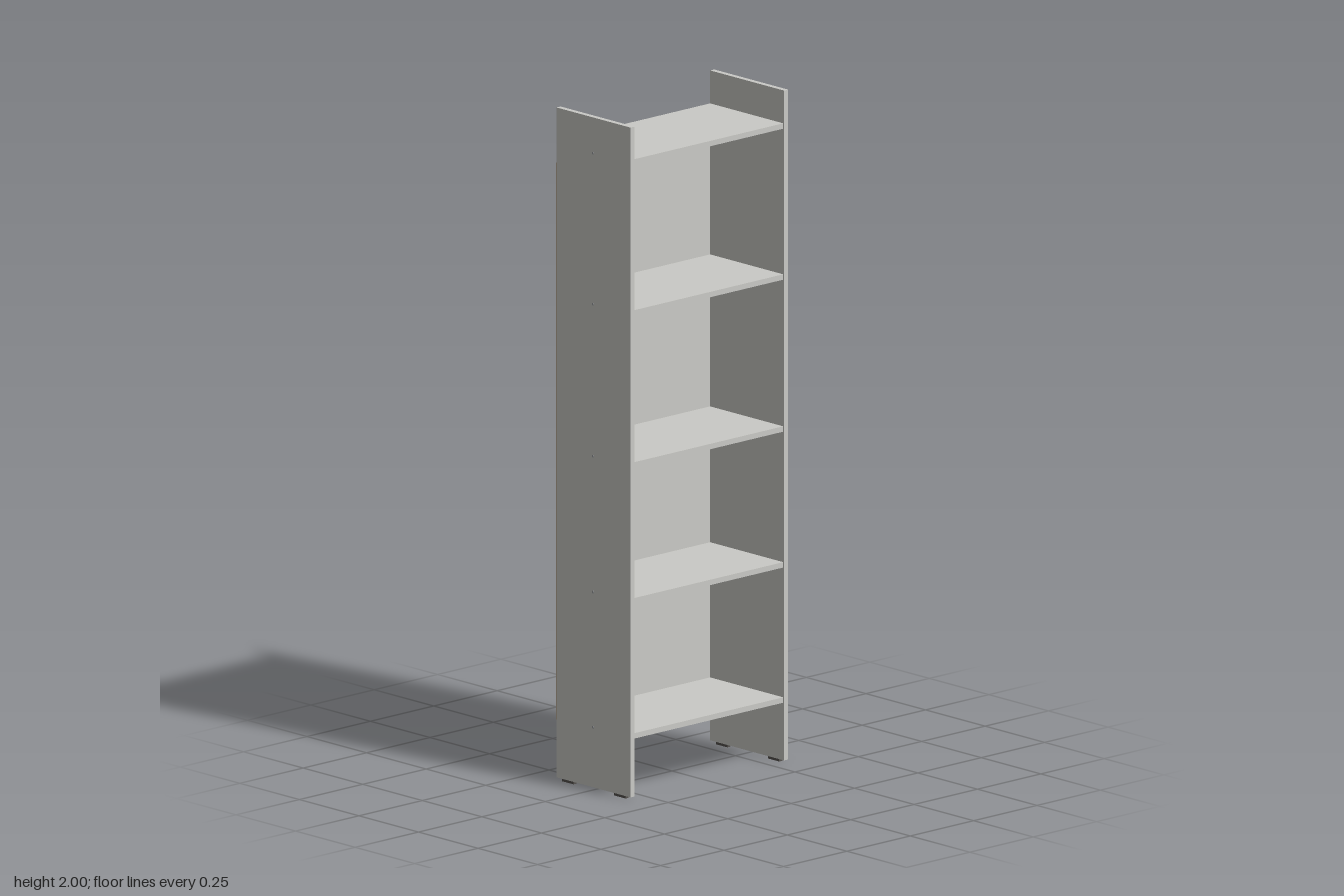
import * as THREE from 'three';

export function createModel() {
  const model = new THREE.Group();
  const mat = (name, color) => {
    const m = new THREE.MeshStandardMaterial({ color });
    m.name = name;
    return m;
  };
  const paint = mat('pale grey', 0xcacac6);
  const board = mat('brown hardboard', 0xb09775);
  const metal = mat('grey metal', 0x9a9c9e);
  const dark = mat('dark plastic', 0x55524e);

  const add = (name, geometry, material, x, y, z, parent = model) => {
    const mesh = new THREE.Mesh(geometry, material);
    mesh.name = name;
    mesh.position.set(x, y, z);
    parent.add(mesh);
    return mesh;
  };
  const box = (name, material, x0, x1, y0, y1, z0, z1, parent) =>
    add(name, new THREE.BoxGeometry(x1 - x0, y1 - y0, z1 - z0), material,
      (x0 + x1) / 2, (y0 + y1) / 2, (z0 + z1) / 2, parent);

  const outer = 0.311, inner = 0.295, front = 0.157, back = -0.154, panelBack = -0.157;
  const shelfHeights = [0.187, 0.589, 0.993, 1.445, 1.894];

  // Shelves
  shelfHeights.forEach((y) =>
    box('shelf', paint, -inner, inner, y - 0.008, y + 0.008, back, 0.153));

  // Back panel with its two top corners cut away; pale inside, brown outside
  const top = 1.896, bottom = 0.18, notchX = 0.25, notchY = 1.836;
  const outline = new THREE.Shape([
    [-outer, bottom], [outer, bottom], [outer, notchY], [notchX, notchY],
    [notchX, top], [-notchX, top], [-notchX, notchY], [-outer, notchY],
  ].map(([x, y]) => new THREE.Vector2(x, y)));
  add('backPanel', new THREE.ExtrudeGeometry(outline, { depth: 0.0026, bevelEnabled: false }),
    board, 0, 0, panelBack);
  add('backPanelInnerFace', new THREE.ShapeGeometry(outline), paint, 0, 0, back + 0.0002);

  // Sides with feet, screws, wall brackets and nails
  const screw = new THREE.CylinderGeometry(0.004, 0.004, 0.002, 12).rotateZ(Math.PI / 2);
  const nail = new THREE.CylinderGeometry(0.0025, 0.0025, 0.002, 8).rotateX(Math.PI / 2);
  const slot = new THREE.Shape();
  slot.moveTo(-0.02, -0.008).lineTo(0.02, -0.008).lineTo(0.02, 0.008).lineTo(-0.02, 0.008);
  const slotHole = new THREE.Path();
  slotHole.moveTo(-0.012, -0.003).lineTo(-0.012, 0.003).lineTo(0.012, 0.003).lineTo(0.012, -0.003);
  slot.holes.push(slotHole);
  const bracketPlate = new THREE.ExtrudeGeometry(slot, { depth: 0.002, bevelEnabled: false });

  for (const s of [-1, 1]) {
    const span = (a, b) => (s > 0 ? [a, b] : [-b, -a]);
    box('sidePanel', paint, ...span(inner, outer), 0.008, 2, back, front);
    for (const z of [0.11, -0.108])
      box('foot', dark, ...span(0.297, 0.309), 0, 0.008, z - 0.024, z + 0.024);
    for (const y of shelfHeights) add('screw', screw, metal, s * (outer + 0.0005), y, 0);

    const bracket = new THREE.Group();
    bracket.name = 'wallBracket';
    model.add(bracket);
    add('bracketPlate', bracketPlate, metal, s * 0.275, 1.862, -0.153, bracket);
    box('bracketTab', metal, ...span(inner - 0.002, inner), 1.854, 1.87, -0.153, -0.125, bracket);

    for (let i = 0; i < 11; i++)
      add('nail', nail, metal, s * 0.303, 0.23 + i * 0.155, panelBack - 0.0005);
  }

  // Nails across the back of each shelf
  for (const y of shelfHeights)
    for (const x of [-0.19, -0.062, 0.062, 0.19])
      add('nail', nail, metal, x, Math.min(y, 1.89), panelBack - 0.0005);

  return model;
}
